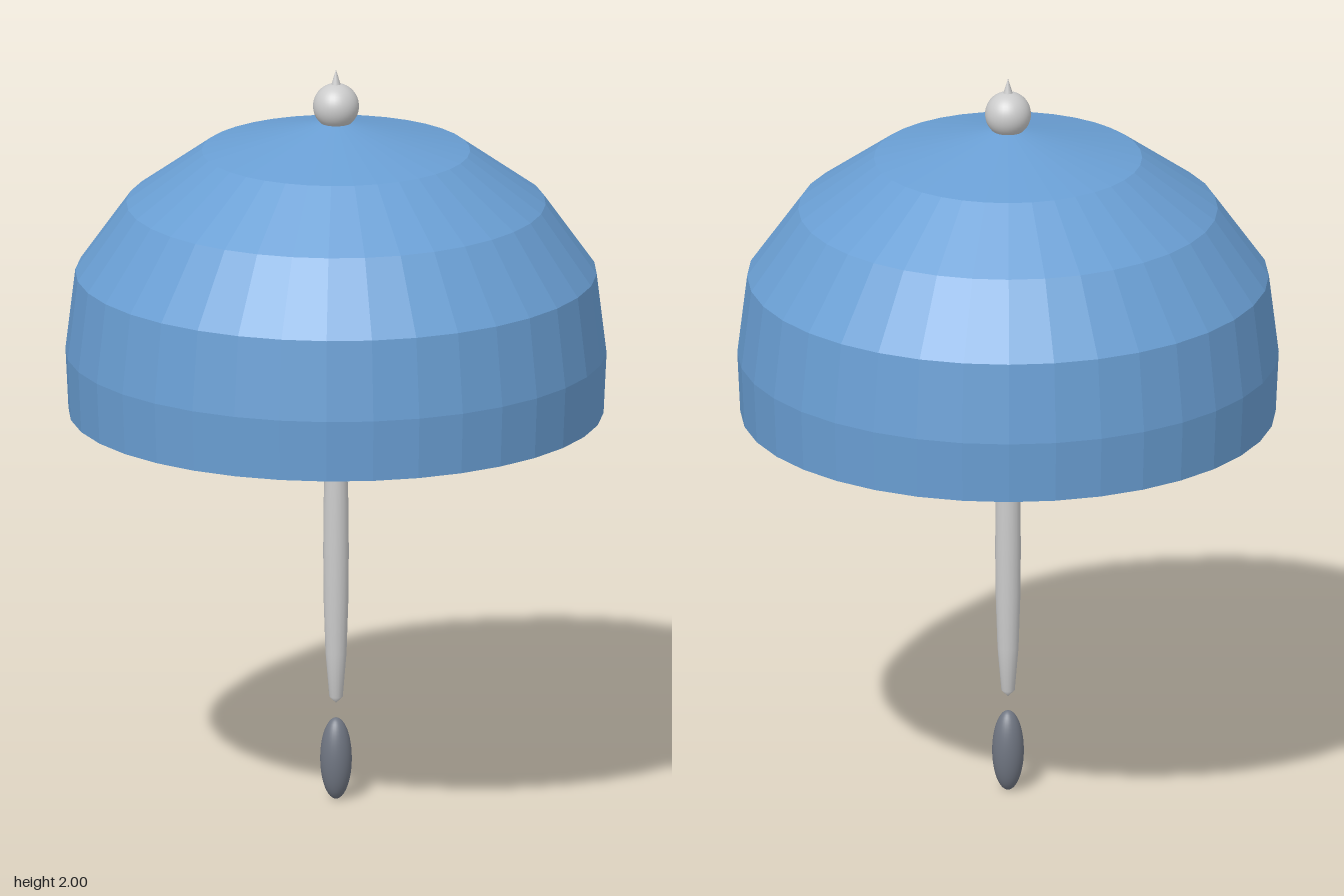
import * as THREE from 'three';

const material = (color, flatShading = false) => new THREE.MeshStandardMaterial({ color, flatShading });

// Revolve [radius, height] pairs, listed from bottom to top
function turned(name, profile, segments, mat) {
  const points = profile.map(([r, y]) => new THREE.Vector2(r, y));
  const mesh = new THREE.Mesh(new THREE.LatheGeometry(points, segments), mat);
  mesh.name = name;
  return mesh;
}

function ellipsoid(name, radius, height, y, mat) {
  const mesh = new THREE.Mesh(new THREE.SphereGeometry(1, 32, 24), mat);
  mesh.name = name;
  mesh.scale.set(radius, height / 2, radius);
  mesh.position.y = y;
  return mesh;
}

export function createModel() {
  const model = new THREE.Group();
  model.name = 'domeOnRod';
  const grey = material(0xcccccc);

  // Faceted dome, closed by a flat underside
  model.add(turned('dome', [
    [0, 1.065], [0.708, 1.065], [0.716, 1.23], [0.69, 1.445],
    [0.555, 1.635], [0.355, 1.778], [0, 1.865],
  ], 36, material(0x6a9fd4, true)));

  // Ball and spike on top
  model.add(ellipsoid('topBall', 0.061, 0.122, 1.9, grey));
  const spike = new THREE.Mesh(new THREE.ConeGeometry(0.015, 0.05, 16), grey);
  spike.name = 'topSpike';
  spike.position.y = 1.975;
  model.add(spike);

  // Slim rod, tapered at both ends
  model.add(turned('rod', [
    [0, 0.262], [0.018, 0.28], [0.028, 0.4], [0.033, 0.55], [0.034, 0.68],
    [0.033, 0.81], [0.028, 0.97], [0.02, 1.08], [0, 1.1],
  ], 16, grey));

  // Separate drop hanging below the rod
  model.add(ellipsoid('drop', 0.042, 0.222, 0.111, material(0x707682)));

  return model;
}
